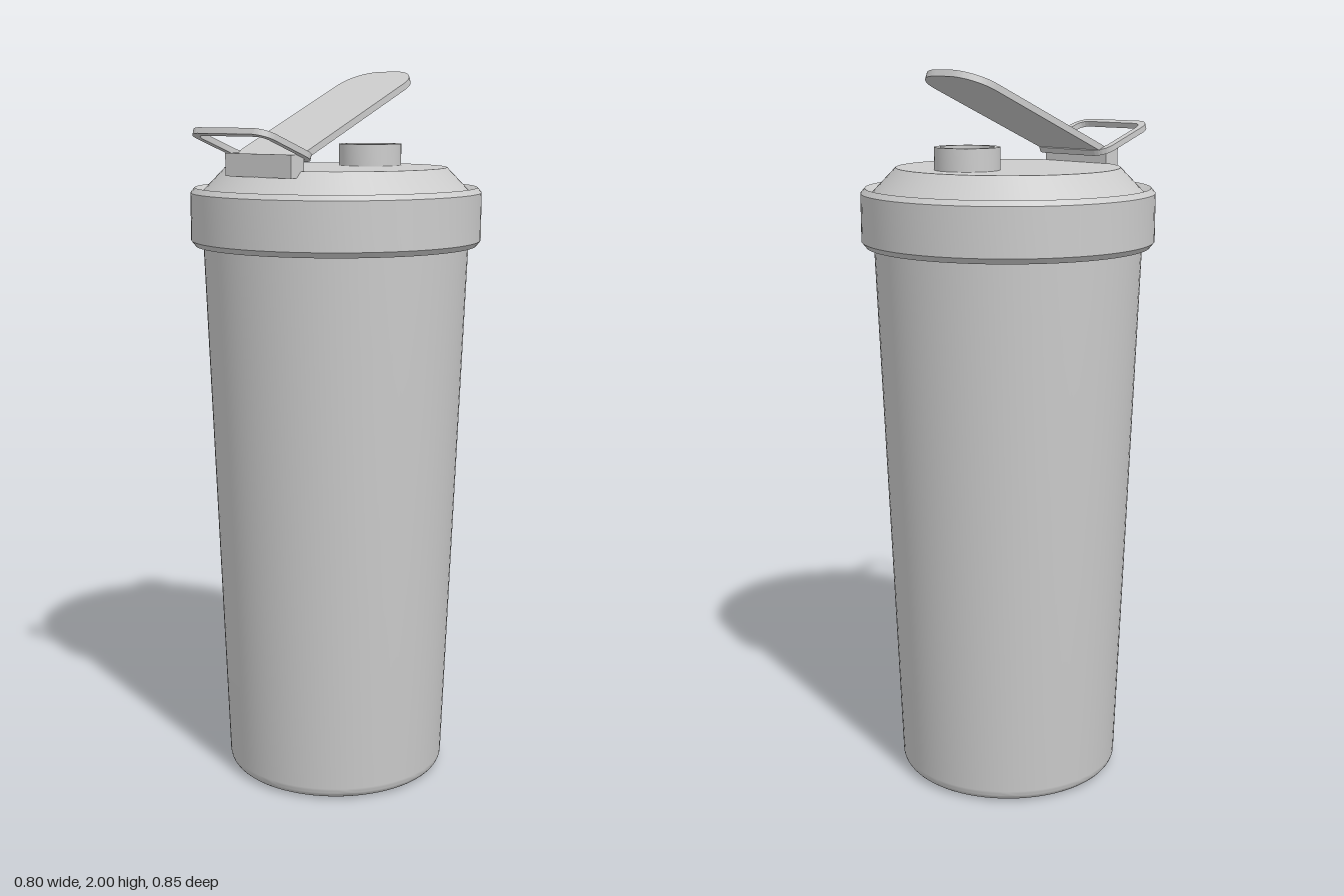
import * as THREE from 'three';
import { toCreasedNormals } from 'three/addons/utils/BufferGeometryUtils.js';

const AXIS_Z = -0.025; // cup axis, offset to balance the carry loop
const FLAP_W = 0.115;
const LID_Y = 1.74;

const plastic = new THREE.MeshStandardMaterial({ color: 0xcccccc });
plastic.name = 'greyPlastic';

function part(name, geometry, parent) {
  const mesh = new THREE.Mesh(toCreasedNormals(geometry, 0.5), plastic);
  mesh.name = name;
  parent.add(mesh);
  return mesh;
}

// Revolve a profile listed from the underside outwards and up
function turned(name, profile, parent, segments = 80) {
  const points = profile.map(([r, y]) => new THREE.Vector2(r, y));
  const mesh = part(name, new THREE.LatheGeometry(points, segments), parent);
  mesh.position.z = AXIS_Z;
  return mesh;
}

// Rounded rectangle with separate near (y0) and far (y1) corner radii
function roundedRect(path, w, y0, y1, rNear, rFar) {
  const q = Math.PI / 2;
  path.absarc(w - rNear, y0 + rNear, rNear, -q, 0, false);
  path.absarc(w - rFar, y1 - rFar, rFar, 0, q, false);
  path.absarc(rFar - w, y1 - rFar, rFar, q, 2 * q, false);
  path.absarc(rNear - w, y0 + rNear, rNear, 2 * q, 3 * q, false);
  path.closePath();
  return path;
}

// Extrude a flat plate lying on the ground: shape +y points to the back
function plate(shape, thickness) {
  const g = new THREE.ExtrudeGeometry(shape, { depth: thickness, bevelEnabled: false, curveSegments: 12 });
  return g.rotateX(-Math.PI / 2);
}

export function createModel() {
  const model = new THREE.Group();
  model.name = 'shakerCup';

  // Tapered body with a rounded foot
  const body = [[0, 0]];
  const fillet = 0.035;
  for (let i = 0; i <= 8; i++) {
    const a = (i / 8) * Math.PI / 2;
    body.push([0.313 - fillet + fillet * Math.sin(a), fillet - fillet * Math.cos(a)]);
  }
  body.push([0.369, 1.55]);
  turned('body', body, model);

  // Lid: chamfered collar, shallow groove, sloped shoulder and flat top
  turned('lid', [
    [0.355, 1.535], [0.39, 1.527], [0.402, 1.542], [0.402, 1.672], [0.39, 1.686],
    [0.37, 1.674], [0.306, LID_Y], [0, LID_Y],
  ], model);

  // Drinking spout
  const spout = turned('spout', [
    [0.088, LID_Y - 0.01], [0.088, 1.8], [0.072, 1.8], [0.072, LID_Y + 0.002], [0, LID_Y + 0.002],
  ], model, 48);
  spout.position.z = -0.178;

  // Hinge block at the front edge of the lid
  const hinge = part('hingeBlock', new THREE.BoxGeometry(FLAP_W * 2, 0.06, 0.05), model);
  hinge.position.set(0, 1.753, 0.272);

  // Open flap, tilted up towards the back
  const flap = part('flap', plate(roundedRect(new THREE.Shape(), FLAP_W, 0, 0.57, 0.035, 0.09), 0.018), model);
  flap.position.set(0, 1.762, 0.257);
  flap.rotation.x = 0.397;

  // Carry loop, tilted up towards the front
  const ring = roundedRect(new THREE.Shape(), 0.135, -0.22, 0, 0.045, 0.045);
  ring.holes.push(roundedRect(new THREE.Path(), 0.115, -0.2, -0.02, 0.027, 0.027));
  const loop = part('carryLoop', plate(ring, 0.016), model);
  loop.position.set(0, 1.762, 0.217);
  loop.rotation.x = -0.345;

  return model;
}
